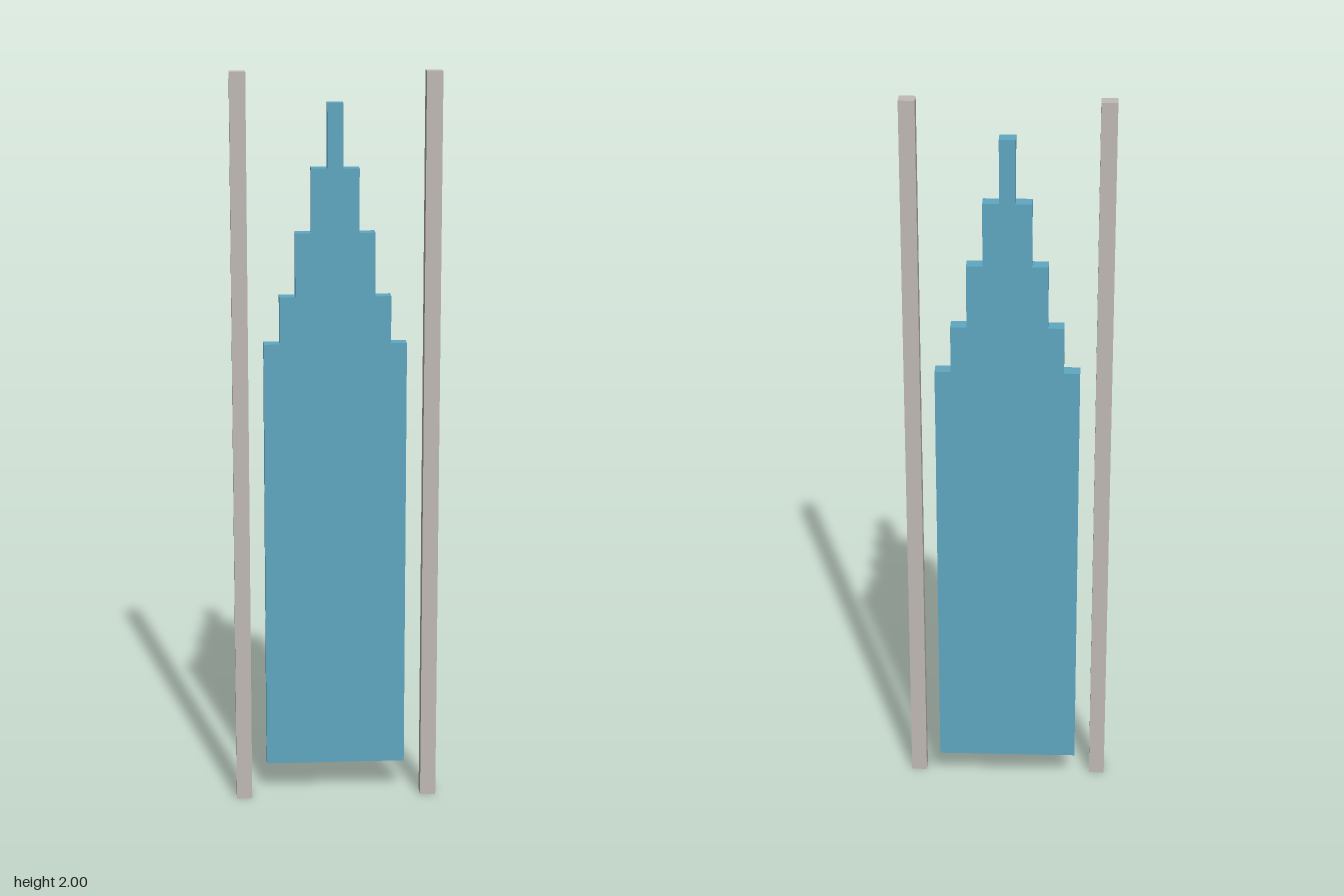
import * as THREE from 'three';

const U = 2 / 47; // one block of the modelling grid

export function createModel() {
  const group = new THREE.Group();
  const blue = new THREE.MeshStandardMaterial({ color: 0x60a8c2 });
  blue.name = 'blue panel';
  const grey = new THREE.MeshStandardMaterial({ color: 0xc0bab5 });
  grey.name = 'warm grey post';

  // Stepped panel: one outline, rising block by block to the middle
  const bottom = 2;
  const tops = [30, 33, 37, 41, 45];
  const right = [];
  tops.forEach((top, i) => {
    const outer = 4.5 - i;
    right.push([outer, i ? tops[i - 1] : bottom], [outer, top]);
  });
  const left = right.map(([x, y]) => [-x, y]).reverse();
  const outline = [...right, ...left].map(([x, y]) => new THREE.Vector2(x * U, y * U));
  const panel = new THREE.Mesh(
    new THREE.ExtrudeGeometry(new THREE.Shape(outline), { depth: U, bevelEnabled: false }),
    blue
  );
  panel.name = 'steppedPanel';
  panel.position.z = -U;
  group.add(panel);

  // Full-height posts standing in front of the panel on either side
  for (const side of [-1, 1]) {
    const post = new THREE.Mesh(new THREE.BoxGeometry(U, 2, U), grey);
    post.name = side > 0 ? 'leftPost' : 'rightPost';
    post.position.set(side * 6 * U, 1, U / 2);
    group.add(post);
  }
  return group;
}
